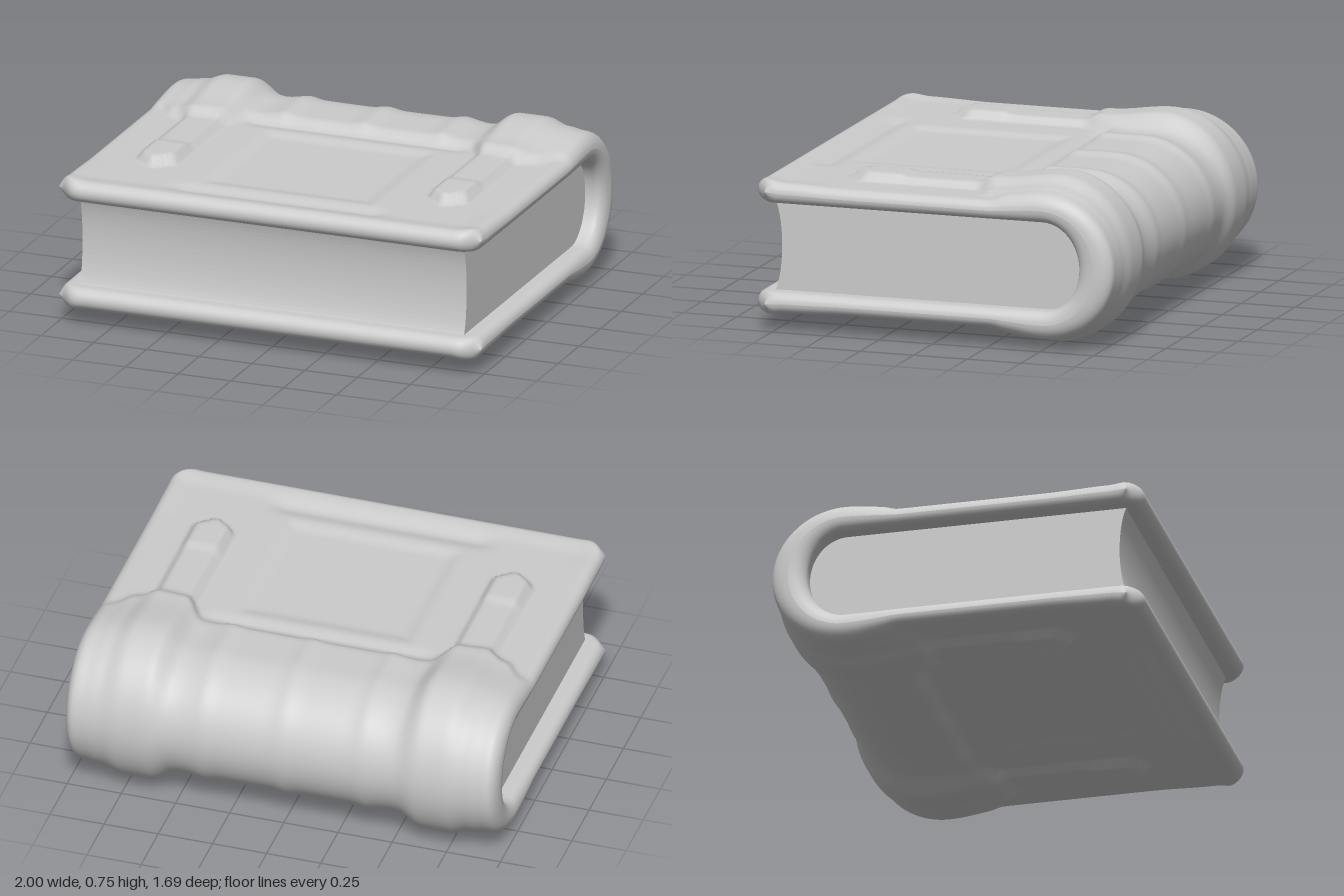
import * as THREE from 'three';

const MID = 0.375;      // height of the book's middle plane
const ZC = -0.5;        // where the flat boards turn into the rounded spine
const material = new THREE.MeshStandardMaterial({ color: 0xcccccc, side: THREE.DoubleSide });

const step = THREE.MathUtils.smoothstep;
const bump = (v, c, w) => Math.exp(-(((v - c) / w) ** 2));

// Piecewise-linear lookup in a short list of [x, value] points
function lookup(points, x) {
  for (let i = 1; i < points.length; i++) {
    const [x0, v0] = points[i - 1], [x1, v1] = points[i];
    if (x <= x1) return v0 + (v1 - v0) * step(x, x0, x1);
  }
  return points[points.length - 1][1];
}

// Half height of the spine across the width, with raised bands
function spineHeight(ax) {
  const bands = lookup([[0, 0.308], [0.52, 0.31], [0.63, 0.374], [0.75, 0.374],
    [0.85, 0.342], [0.93, 0.33], [1, 0.315]], ax);
  return bands + 0.012 * (bump(ax, 0, 0.045) + bump(ax, 0.37, 0.04)) - 0.006 * bump(ax, 0.48, 0.04);
}

// Line where the spine leather ends on the boards
const spineEdge = ax => lookup([[0, -0.3], [0.52, -0.3], [0.62, -0.19], [0.77, -0.18],
  [0.85, -0.21], [0.95, -0.3], [1, -0.3]], ax);

// Half height of the board surface with straps, sunken panel and grooves
function boardHeight(ax, z) {
  let h = 0.285;
  const side = Math.abs(ax - 0.69);
  const tip = 0.49 - side * 0.8;
  h += 0.03 * step(0.1 - side, 0, 0.03) * step(tip - z, 0, 0.04);
  h += 0.01 * step(0.1 - side, 0, 0.03) * step(tip - z, 0, 0.04) * step(z, 0.2, 0.24);
  const panel = Math.min(0.42 - ax, z + 0.18, 0.6 - z);
  h -= 0.014 * step(panel, 0, 0.08);
  h -= 0.016 * bump(z, 0.68, 0.045) * (1 - step(ax, 0.42, 0.56));
  h -= 0.012 * bump(z, -0.25, 0.04) * (1 - step(ax, 0.46, 0.56));
  h += 0.012 * step(z, 0.7, 0.8) + 0.008 * step(ax, 0.86, 0.96) * step(z, 0.4, 0.7);
  return h;
}

function outerHeight(ax, z) {
  const e = spineEdge(ax);
  const spine = spineHeight(ax) - 0.028 * step(ax, 0.5, 0.62) * step(z, -0.5, -0.22);
  return THREE.MathUtils.lerp(spine, boardHeight(ax, z), step(z, e - 0.02, e + 0.05));
}

// Outer and inner points of the cover for one half of its C-shaped section
function coverHalf(x) {
  const ax = Math.abs(x);
  const front = 0.845 - 0.06 * step(ax, 0.88, 1) ** 2;
  const pts = [];
  const ROLL = 7, FLAT = 58, ARC = 22, R = 0.05;
  const add = (z, h, iz, ih, k = 1) => {
    const mz = (z + iz) / 2, mh = (h + ih) / 2;
    pts.push({ o: [mz + (z - mz) * k, mh + (h - mh) * k], i: [mz + (iz - mz) * k, mh + (ih - mh) * k] });
  };
  for (let n = 0; n < ROLL; n++) {           // rounded fore edge
    const a = (n / ROLL) * Math.PI / 2;
    const z = front - R + R * Math.cos(a);
    add(z, outerHeight(ax, z), z, 0.2, Math.sin(a));
  }
  for (let n = 0; n < FLAT; n++) {           // board
    const z = front - R + (ZC - front + R) * n / FLAT;
    add(z, outerHeight(ax, z), z, 0.2);
  }
  const H = spineHeight(ax), D = 0.325 + 0.3 * (H - 0.31);
  for (let n = 0; n <= ARC; n++) {           // quarter of the spine
    const a = (n / ARC) * Math.PI / 2, s = Math.sin(a), c = Math.cos(a);
    add(ZC - D * s, H * c, ZC - 0.17 * s, 0.2 * c);
  }
  return pts;
}

// Closed section: outside from top to bottom, then back along the inside
function coverLoop(x) {
  const half = coverHalf(x);
  const flip = p => ({ o: [p.o[0], -p.o[1]], i: [p.i[0], -p.i[1]] });
  const all = [...half, ...half.slice(0, -1).reverse().map(flip)];
  const outer = all.map(p => p.o);
  const inner = all.map(p => p.i).reverse().slice(1, -1);
  const n = all.length;
  return [...outer, ...inner].map((p, j) => {
    const partner = j < n ? all[j].i : all[2 * n - 2 - j].o;
    return { p, mid: [(p[0] + partner[0]) / 2, (p[1] + partner[1]) / 2] };
  });
}

function coverGeometry() {
  const stations = [], ROUND = 6, R = 0.045, INNER = 112;
  for (let n = 0; n < ROUND; n++) {
    const a = (n / ROUND) * Math.PI / 2;
    stations.push([-1 + R * (1 - Math.cos(a)), Math.sin(a)]);
  }
  for (let n = 0; n <= INNER; n++) stations.push([(-1 + R) + (2 - 2 * R) * n / INNER, 1]);
  for (let n = ROUND - 1; n >= 0; n--) stations.push([-stations[n][0], stations[n][1]]);

  const positions = [], index = [];
  let count = 0;
  stations.forEach(([x, k], i) => {
    const loop = coverLoop(x);
    count = loop.length;
    loop.forEach(({ p, mid }, j) => {
      positions.push(x, MID + mid[1] + (p[1] - mid[1]) * k, mid[0] + (p[0] - mid[0]) * k);
      if (i === stations.length - 1) return;
      const a = i * count + j, c = i * count + (j + 1) % count;
      index.push(a, a + count, c, a + count, c + count, c);
    });
  });
  const g = new THREE.BufferGeometry();
  g.setAttribute('position', new THREE.Float32BufferAttribute(positions, 3));
  g.setIndex(index);
  g.computeVertexNormals();
  return g;
}

// Page block: hollow fore edge, rounded back, extruded across the width
function pagesGeometry() {
  const H = 0.215, W = 1.82;
  const s = new THREE.Shape();
  s.moveTo(0.77, -H);
  s.bezierCurveTo(0.72, -H * 0.6, 0.72, H * 0.6, 0.77, H);
  s.lineTo(ZC, H);
  s.absellipse(ZC, 0, 0.19, H, Math.PI / 2, Math.PI * 1.5, false);
  s.closePath();
  const g = new THREE.ExtrudeGeometry(s, { depth: W, bevelEnabled: false, curveSegments: 24 });
  g.translate(0, 0, -W / 2);
  g.rotateY(-Math.PI / 2);                   // section's x becomes z
  g.translate(0, MID, 0);
  return g;
}

export function createModel() {
  const book = new THREE.Group();
  book.name = 'book';
  const parts = { cover: coverGeometry(), pages: pagesGeometry() };
  for (const [name, geometry] of Object.entries(parts)) {
    const mesh = new THREE.Mesh(geometry, material);
    mesh.name = name;
    book.add(mesh);
  }
  return book;
}
